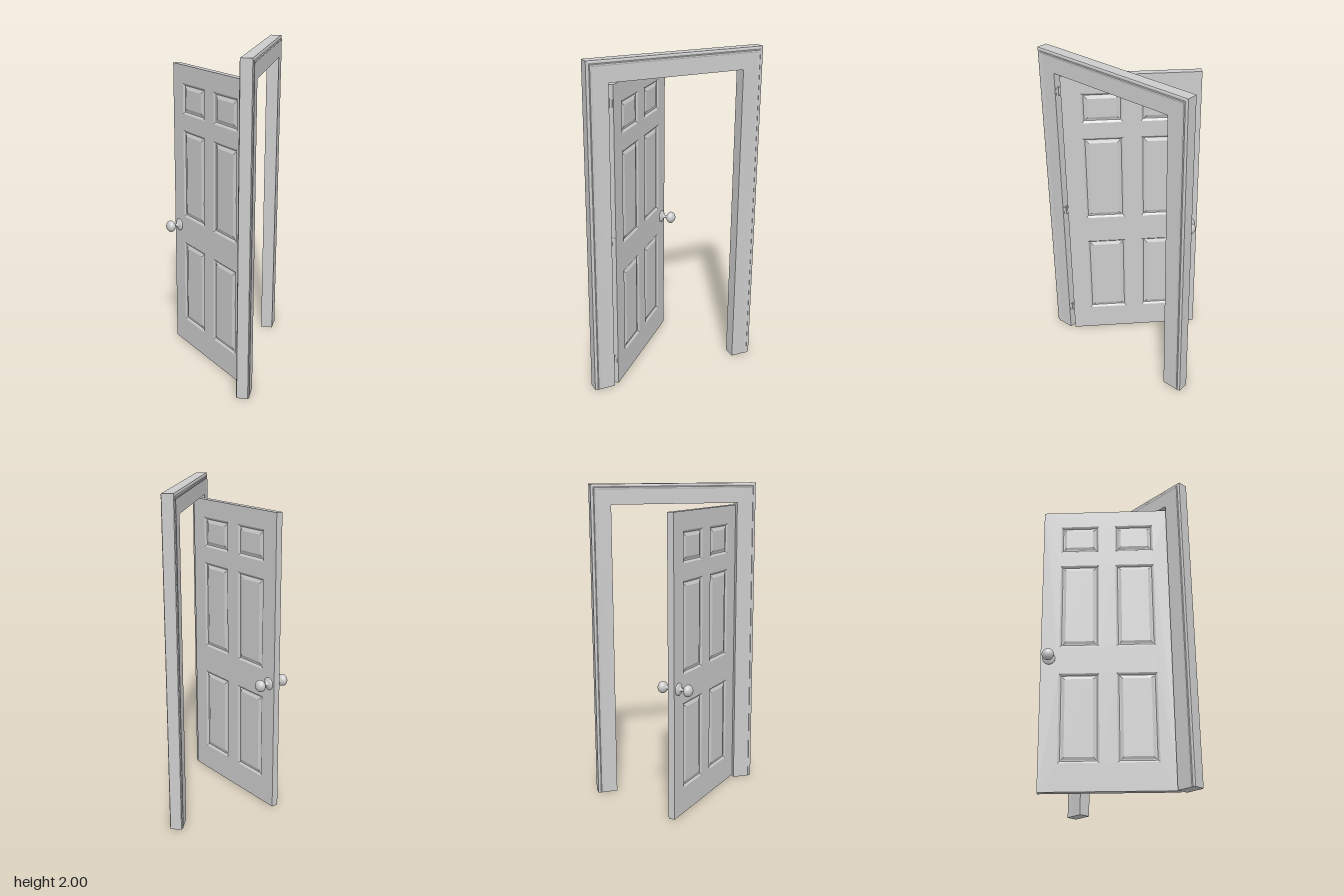
import * as THREE from 'three';

const grey = new THREE.MeshStandardMaterial({ color: 0xcccccc });

function add(parent, name, geometry, x = 0, y = 0, z = 0) {
  const mesh = new THREE.Mesh(geometry, grey);
  mesh.name = name;
  mesh.position.set(x, y, z);
  parent.add(mesh);
  return mesh;
}

const rect = (T, x0, y0, x1, y1) => new T([
  new THREE.Vector2(x0, y0), new THREE.Vector2(x1, y0),
  new THREE.Vector2(x1, y1), new THREE.Vector2(x0, y1),
]);

// Moulded casing: one cross-section swept round three sides with mitred corners
function frameGeometry(halfOpening, openingHeight) {
  // [distance out from the opening, half thickness]
  const half = [[0, 0.038], [0.092, 0.038], [0.097, 0.04], [0.104, 0.04],
    [0.108, 0.036], [0.114, 0.037], [0.12, 0.036], [0.125, 0.033]];
  const outline = [
    ...half.map(([d, h]) => new THREE.Vector2(d, -h)),
    ...half.slice().reverse().map(([d, h]) => new THREE.Vector2(d, h)),
  ];
  const geo = new THREE.ExtrudeGeometry(new THREE.Shape(outline), { depth: 3, steps: 3, bevelEnabled: false });
  const p = geo.attributes.position;
  for (let i = 0; i < p.count; i++) {
    const d = p.getX(i), h = p.getY(i), station = Math.round(p.getZ(i));
    const side = station < 2 ? 1 : -1;
    const top = station === 1 || station === 2;
    p.setXYZ(i, h, top ? openingHeight + d : 0, side * (halfOpening + d));
  }
  geo.computeVertexNormals();
  return geo;
}

// Raised panel: nested rectangles stepping into a groove and back up to a flat field
function panelGeometry(w, h) {
  const rings = [[0, 0], [0.005, -0.003], [0.013, -0.01], [0.019, -0.01], [0.036, -0.002]];
  const pos = [], index = [];
  rings.forEach(([inset, z], r) => {
    const x = w / 2 - inset, y = h / 2 - inset;
    pos.push(-x, -y, z, x, -y, z, x, y, z, -x, y, z);
    if (r === 0) return;
    for (let k = 0; k < 4; k++) {
      const n = (k + 1) % 4, a = (r - 1) * 4, b = r * 4;
      index.push(a + k, a + n, b + n, a + k, b + n, b + k);
    }
  });
  const c = (rings.length - 1) * 4;
  index.push(c, c + 1, c + 2, c, c + 2, c + 3);
  const indexed = new THREE.BufferGeometry();
  indexed.setAttribute('position', new THREE.Float32BufferAttribute(pos, 3));
  indexed.setIndex(index);
  const geo = indexed.toNonIndexed();
  geo.computeVertexNormals();
  return geo;
}

// Rosette, neck and flattened ball, turned about the axis pointing out of the door
function knobGeometry() {
  const pts = [[0.038, 0], [0.038, 0.004], [0.033, 0.009], [0.02, 0.013], [0.012, 0.018], [0.009, 0.028]]
    .map(([r, y]) => new THREE.Vector2(r, y));
  for (let i = 0; i <= 14; i++) {
    const a = 0.33 + (Math.PI - 0.33) * i / 14;
    pts.push(new THREE.Vector2(Math.max(0, 0.037 * Math.sin(a)), 0.065 - 0.029 * Math.cos(a)));
  }
  return new THREE.LatheGeometry(pts, 28).rotateX(Math.PI / 2);
}

export function createModel() {
  const model = new THREE.Group();
  model.name = 'openDoor';
  const frameX = 0.29;
  add(model, 'doorFrame', frameGeometry(0.41, 1.875), frameX);

  // Door leaf, swung open 45 degrees; local x runs from the hinges to the free edge
  const door = new THREE.Group();
  door.name = 'door';
  door.position.set(0.30, 0, 0.395);
  door.rotation.y = Math.PI * 0.75;
  model.add(door);

  const width = 0.813, thick = 0.042;
  const columns = [[0.113, 0.354], [width - 0.354, width - 0.113]];
  const rows = [[0.17, 0.72], [0.895, 1.46], [1.56, 1.75]];

  const leaf = rect(THREE.Shape, 0, 0.004, width, 1.86);
  for (const [x0, x1] of columns) {
    for (const [y0, y1] of rows) {
      leaf.holes.push(rect(THREE.Path, x0, y0, x1, y1));
      const geo = panelGeometry(x1 - x0, y1 - y0);
      for (const side of [1, -1]) {
        const panel = add(door, 'raisedPanel', geo, (x0 + x1) / 2, (y0 + y1) / 2, side * thick / 2);
        if (side < 0) panel.rotation.y = Math.PI;
      }
    }
  }
  add(door, 'doorLeaf', new THREE.ExtrudeGeometry(leaf, { depth: thick, bevelEnabled: false }), 0, 0, -thick / 2);

  // Knob on each face
  const knob = knobGeometry();
  for (const side of [1, -1]) {
    const mesh = add(door, 'knob', knob, width - 0.051, 0.82, side * thick / 2);
    if (side < 0) mesh.rotation.y = Math.PI;
  }

  // Hinges: pin, door plate and jamb plate
  for (const y of [0.17, 0.95, 1.76]) {
    add(door, 'hingePin', new THREE.CylinderGeometry(0.006, 0.006, 0.052, 12), -0.006, y, -0.006);
    add(door, 'hingeDoorPlate', new THREE.BoxGeometry(0.003, 0.045, 0.022), -0.001, y, 0.004);
    add(model, 'hingeJambPlate', new THREE.BoxGeometry(0.022, 0.045, 0.003), 0.311, y, 0.409);
  }
  return model;
}
